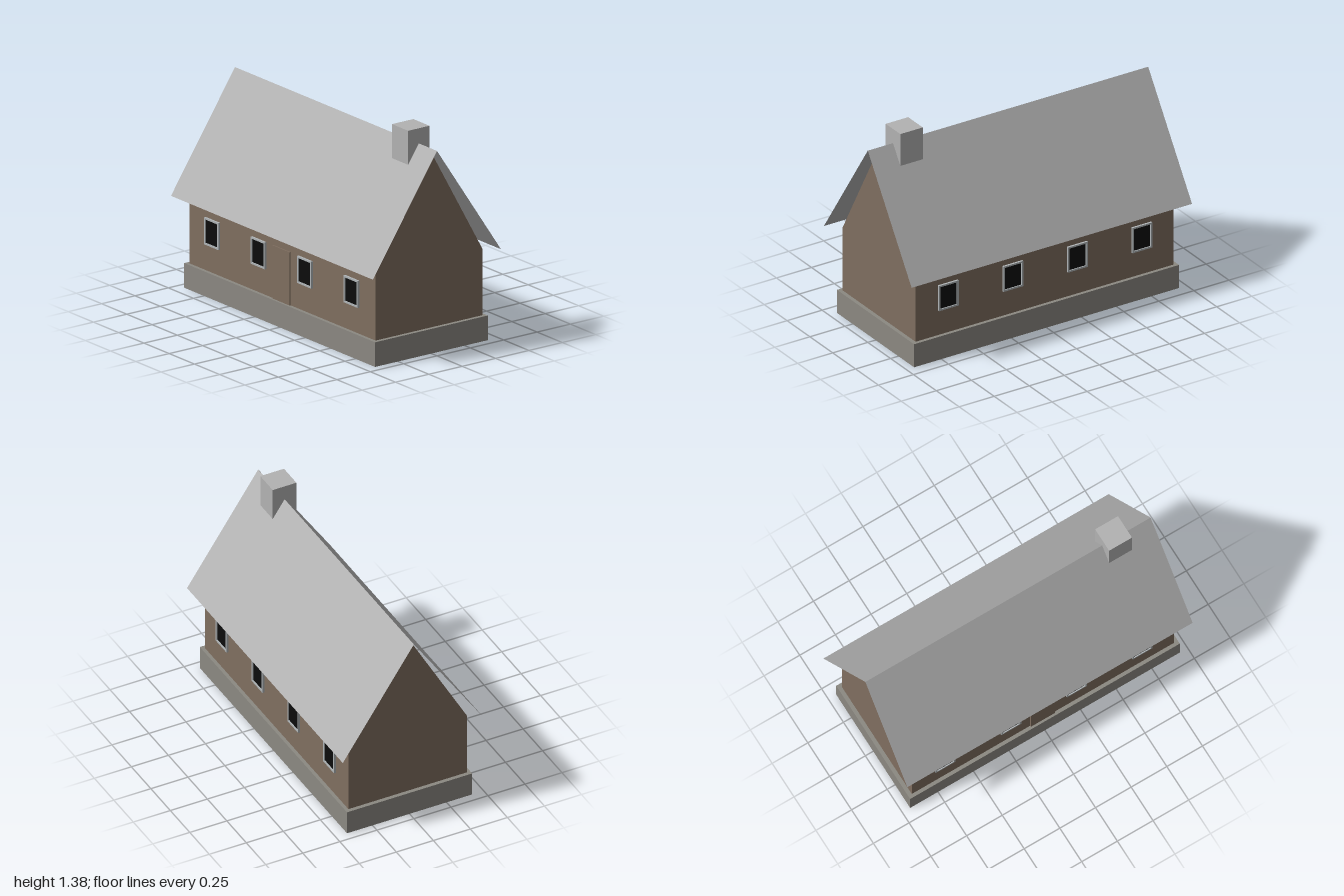
import * as THREE from 'three';

export function createModel() {
  const house = new THREE.Group();
  house.name = 'house';
  const mat = (name, color, side = THREE.FrontSide) => {
    const m = new THREE.MeshStandardMaterial({ color, side });
    m.name = name;
    return m;
  };
  const brown = mat('brown wall', 0x806f60, THREE.DoubleSide);
  const stone = mat('stone base', 0x8c8982);
  const grey = mat('grey roof', 0xb3b3b3, THREE.DoubleSide);
  const frameGrey = mat('window frame', 0xb0b5b7);
  const black = mat('dark glass', 0x0c0c0c);

  const add = (name, geometry, material, x, y, z, parent = house) => {
    const m = new THREE.Mesh(geometry, material);
    m.name = name;
    m.position.set(x, y, z);
    parent.add(m);
    return m;
  };
  const box = (w, h, d) => new THREE.BoxGeometry(w, h, d);

  const baseTop = 0.155, eave = 0.575, ridge = 1.29;
  const wallX = 0.4, wallZ = 0.92, roofX = 0.48, roofLength = 2;

  // Plinth
  add('base', box(0.845, baseTop, 1.89), stone, 0, baseTop / 2, 0);

  // Gable ends: thin five-sided walls, open to the roof space
  const gable = new THREE.Shape([
    [-wallX, baseTop], [wallX, baseTop], [wallX, eave], [0, ridge - 0.003], [-wallX, eave],
  ].map(([x, y]) => new THREE.Vector2(x, y)));
  for (const s of [1, -1]) {
    const g = add(s > 0 ? 'frontGable' : 'backGable', new THREE.ShapeGeometry(gable), brown, 0, 0, s * wallZ);
    if (s < 0) g.rotation.y = Math.PI;
  }

  // Each side: wall, roof slope and four windows
  const slope = Math.hypot(roofX, ridge - eave);
  const pitch = Math.atan2(roofX, ridge - eave);
  for (const s of [1, -1]) {
    const side = s > 0 ? 'left' : 'right';
    const wall = add(side + 'Wall', new THREE.PlaneGeometry(2 * wallZ, eave - baseTop), brown,
      s * wallX, (eave + baseTop) / 2, 0);
    wall.rotation.y = s * Math.PI / 2;

    // Thin sheet leaning from the eave to the ridge
    const sheet = new THREE.PlaneGeometry(roofLength, slope);
    sheet.rotateX(-pitch);
    sheet.rotateY(s * Math.PI / 2);
    add(side + 'Roof', sheet, grey, s * roofX / 2, (eave + ridge) / 2, 0);

    for (const z of [-0.69, -0.23, 0.23, 0.69]) {
      const win = new THREE.Group();
      win.name = side + 'Window';
      win.position.set(s * wallX, 0.405, z);
      house.add(win);
      add('glass', box(0.008, 0.15, 0.12), black, s * 0.002, 0, 0, win);
      for (const e of [1, -1]) {
        add('frameRail', box(0.014, 0.011, 0.14), frameGrey, s * 0.006, e * 0.0795, 0, win);
        add('frameStile', box(0.014, 0.148, 0.011), frameGrey, s * 0.006, 0, e * 0.0645, win);
      }
    }
  }

  // Door on the right side
  add('door', box(0.016, 0.335, 0.17), brown, -wallX, baseTop + 0.1675, -0.005);

  // Chimney running down through the roof
  add('chimney', box(0.16, 1.385 - baseTop, 0.16), grey, 0, (1.385 + baseTop) / 2, 0.74);

  return house;
}
